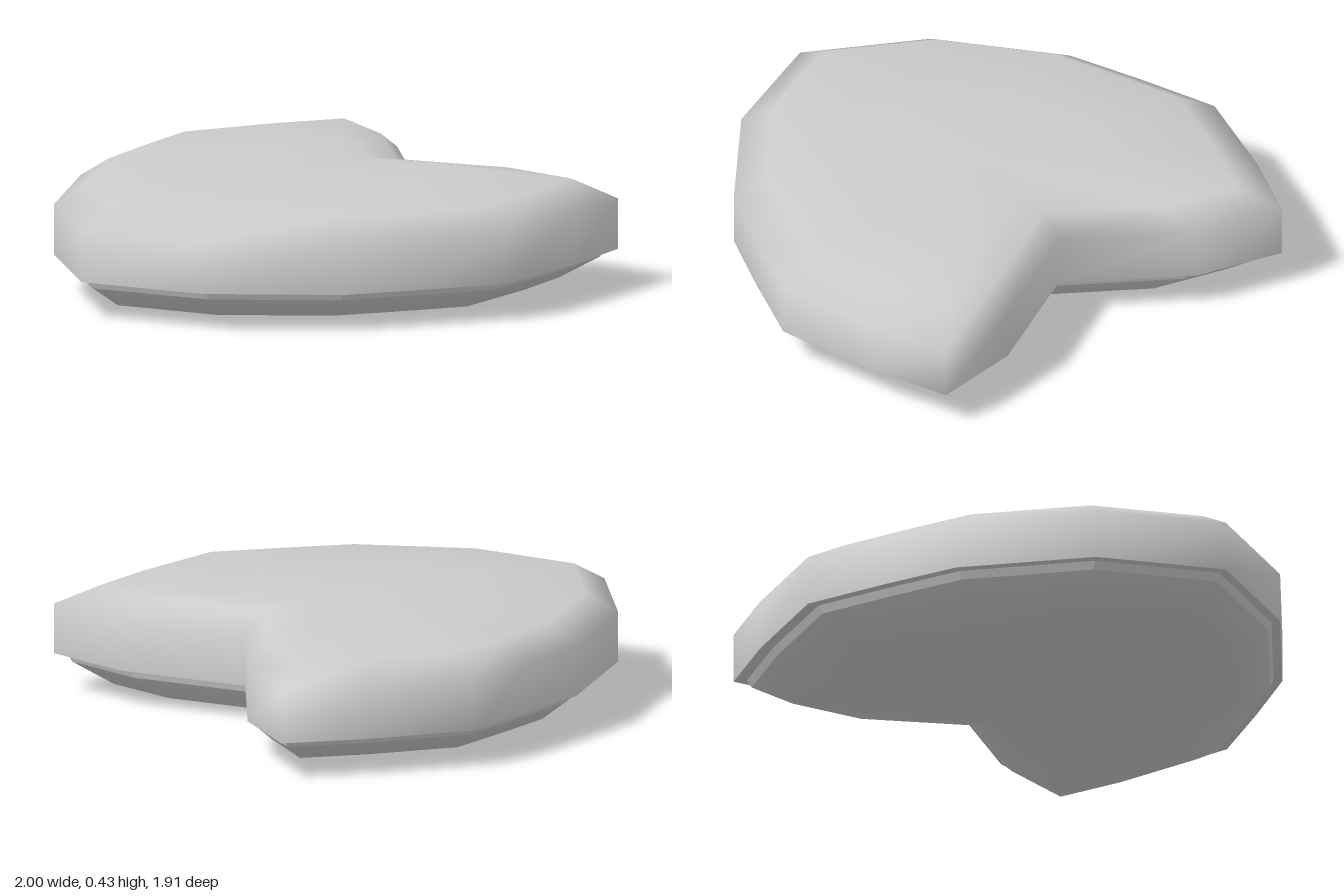
import * as THREE from 'three';

// Right half of the heart outline [x, z], from the rear notch to the front tip
const half = [
  [0, -0.62], [0.44, -0.89], [0.78, -0.96], [0.89, -0.67], [1, -0.26],
  [0.89, 0.05], [0.78, 0.33], [0.44, 0.73], [0, 0.95],
];
const heart = [...half, ...half.slice(1, -1).reverse().map(([x, z]) => [-x, z])];

// Skin heart rings [scale, y, z shift] in order; scale 0 closes the skin at a point
function loft(name, rings, flat = false) {
  const n = heart.length;
  const pos = [];
  const index = [];
  for (const [s, y, dz = 0] of rings) {
    for (const [x, z] of heart) pos.push(x * s, y, z * s + dz);
  }
  for (let r = 0; r < rings.length - 1; r++) {
    for (let i = 0; i < n; i++) {
      const j = (i + 1) % n;
      const a = r * n + i, b = r * n + j, c = a + n, d = b + n;
      if (rings[r + 1][0] > 0) index.push(b, c, d);
      if (rings[r][0] > 0) index.push(a, c, b);
    }
  }
  const geo = new THREE.BufferGeometry();
  geo.setAttribute('position', new THREE.Float32BufferAttribute(pos, 3));
  geo.setIndex(index);
  geo.computeVertexNormals();
  const mesh = new THREE.Mesh(geo, new THREE.MeshStandardMaterial({ color: 0xcccccc, flatShading: flat }));
  mesh.name = name;
  return mesh;
}

export function createModel() {
  const group = new THREE.Group();
  group.name = 'heartBox';
  group.add(
    // Lid: upright wall, rounded shoulder, nearly flat crown
    loft('lid', [[1, 0.14], [1, 0.33], [0.86, 0.405], [0.46, 0.43, -0.1], [0, 0.43, -0.1]]),
    // Underside lip of the lid
    loft('lidLip', [[0.9, 0.14], [1, 0.14]], true),
    // Base: shallow rounded bowl with a narrow faceted rim band
    loft('base', [[0, 0, -0.1], [0.46, 0, -0.1], [0.82, 0.03], [0.945, 0.11]]),
    loft('baseRim', [[0.945, 0.11], [0.96, 0.14]], true),
  );
  return group;
}
